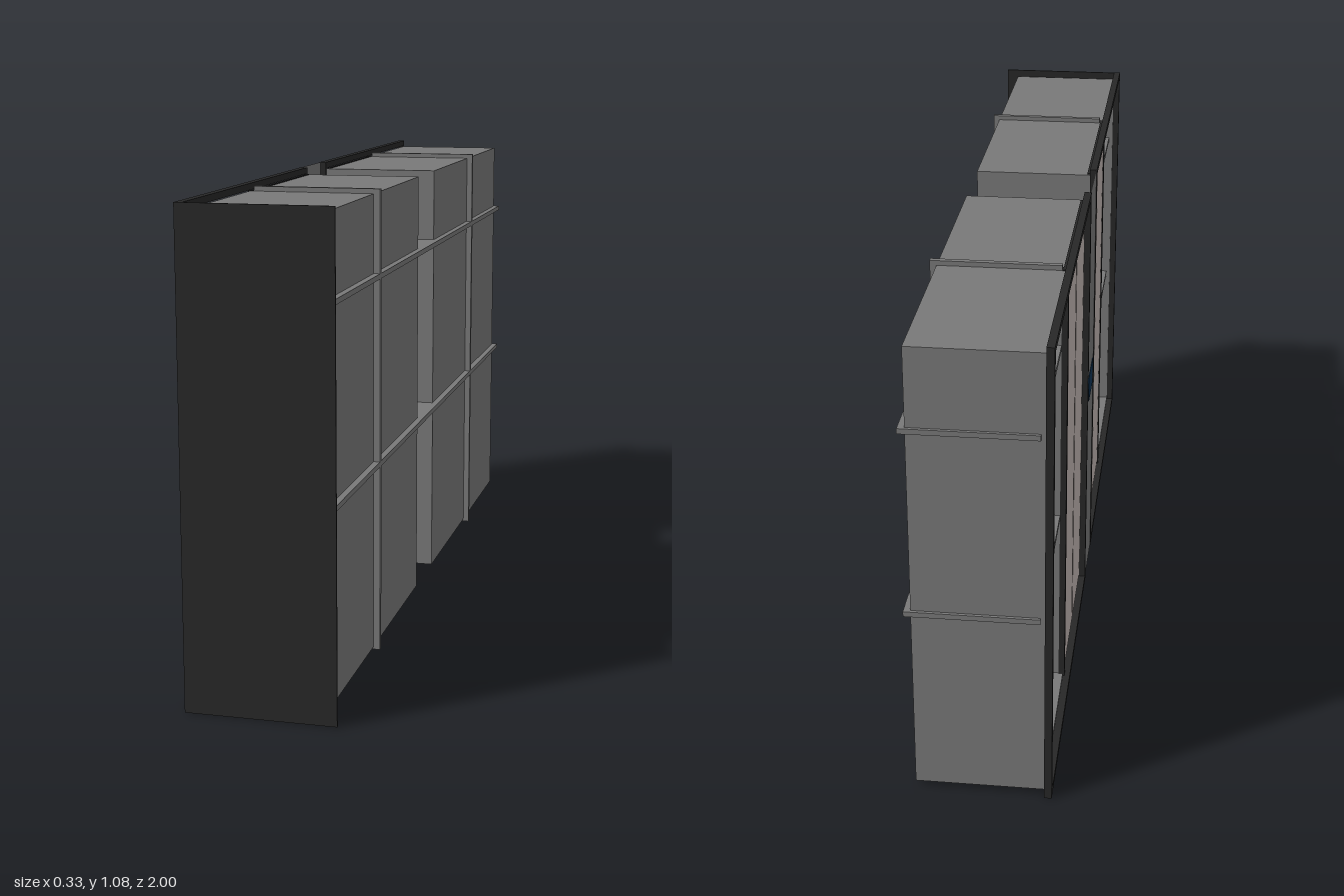
import * as THREE from 'three';

const mat = (name, color) => {
  const m = new THREE.MeshStandardMaterial({ color });
  m.name = name;
  return m;
};

export function createModel() {
  const grey = mat('carcass grey', 0x787878);
  const black = mat('frame black', 0x272727);
  const taupe = mat('door taupe', 0xc2b7b3);
  const navy = mat('screen navy', 0x0f3456);
  const orange = mat('box orange', 0xe0765a);
  const silver = mat('box silver', 0xb4b8ba);
  const cream = mat('cloth cream', 0xd8cfca);
  const teal = mat('cloth teal', 0x8fa6aa);
  const charcoal = mat('cloth charcoal', 0x303030);
  const blue = mat('cloth blue', 0x1060c0);

  const root = new THREE.Group();
  root.name = 'wardrobe';

  // Box given by its extents on each axis
  const box = (name, m, x0, x1, y0, y1, z0, z1, parent = root) => {
    const mesh = new THREE.Mesh(new THREE.BoxGeometry(x1 - x0, y1 - y0, z1 - z0), m);
    mesh.position.set((x0 + x1) / 2, (y0 + y1) / 2, (z0 + z1) / 2);
    mesh.name = name;
    parent.add(mesh);
    return mesh;
  };
  // Same box on the side s (+1 or -1) of the z axis
  const sided = (s, parent) => (name, m, x0, x1, y0, y1, z0, z1) =>
    box(name, m, x0, x1, y0, y1, s > 0 ? z0 : -z1, s > 0 ? z1 : -z0, parent);

  const TOP = 1.08, FRONT = -0.167;

  for (const s of [1, -1]) {
    const unit = new THREE.Group();
    unit.name = s > 0 ? 'frontCabinet' : 'rearCabinet';
    root.add(unit);
    const b = sided(s, unit);

    // Open carcass
    const t = 0.006, y0 = 0.014, y1 = 1.063, z0 = 0.093, z1 = 0.988, xb = 0.135;
    b('backWall', grey, xb - t, xb, y0, y1, z0, z1);
    b('floor', grey, -0.15, xb - t, y0, y0 + t, z0, z1);
    b('ceiling', grey, -0.15, xb - t, y1 - t, y1, z0, z1);
    b('innerSide', grey, -0.15, xb - t, y0 + t, y1 - t, z0, z0 + t);
    b('outerSide', grey, -0.15, xb - t, y0 + t, y1 - t, z1 - t, z1);
    b('divider', grey, -0.14, 0.15, 0.008, 1.074, 0.542, 0.555);

    // Black face frame
    const w = 0.015;
    b('frameBottom', black, FRONT, -0.15, 0, w, 0.085, 1);
    b('frameTop', black, FRONT, -0.15, TOP - w, TOP, 0.085, 1);
    b('frameInner', black, FRONT, -0.15, w, TOP - w, 0.085, 0.085 + w);
    b('frameOuter', black, FRONT, -0.15, w, TOP - w, 1 - w, 1);
    b('post', black, -0.154, -0.14, w, TOP - w, 0.539, 0.557);

    // Two doors with slim black edging
    for (const [a, c] of [[0.1, 0.32], [0.32, 0.539]]) {
      b('doorEdging', black, -0.148, -0.142, w, TOP - w, a, c);
      b('doorPanel', taupe, -0.152, -0.148, w + 0.012, TOP - w - 0.012, a + 0.007, c - 0.007);
    }

    // Clothes rail
    const rail = new THREE.Mesh(new THREE.CylinderGeometry(0.005, 0.005, 0.427, 10), black);
    rail.rotation.x = Math.PI / 2;
    rail.position.set(0, 0.85, s * 0.7685);
    rail.name = 'clothesRail';
    unit.add(rail);
  }

  // Long shelves running through both cabinets and the gap
  for (const y of [0.45, 0.88]) box('shelf', grey, -0.14, 0.15, y - 0.006, y + 0.006, -0.995, 0.995);

  // End panel, centre panel and control screen
  box('endPanel', black, FRONT, 0.167, 0, TOP, 0.996, 1);
  box('centrePanel', grey, -0.1655, -0.1645, 0, TOP, -0.086, 0.086);
  box('screen', navy, -0.167, -0.162, 0.51, 0.58, -0.06, 0.06);

  // Flat outline extruded along z, origin at the hanging point
  const cloth = (name, m, half, depth, x, y, z) => {
    const shape = new THREE.Shape();
    half.forEach(([px, py], i) => (i ? shape.lineTo(px, py) : shape.moveTo(px, py)));
    [...half].reverse().forEach(([px, py]) => shape.lineTo(-px, py));
    const geo = new THREE.ExtrudeGeometry(shape, {
      depth, bevelEnabled: true, bevelThickness: 0.004, bevelSize: 0.004, bevelSegments: 1,
    });
    geo.translate(0, 0, -depth / 2);
    const mesh = new THREE.Mesh(geo, m);
    mesh.position.set(x, y, z);
    mesh.name = name;
    root.add(mesh);
    return mesh;
  };
  const hook = (y, z) => {
    const mesh = new THREE.Mesh(new THREE.TorusGeometry(0.012, 0.0018, 5, 12, Math.PI * 1.4), black);
    mesh.position.set(0, y, z);
    mesh.name = 'hangerHook';
    root.add(mesh);
    box('hangerStem', black, -0.0015, 0.0015, y - 0.035, y - 0.01, z - 0.0015, z + 0.0015);
  };
  // Shirt with sloping shoulders and hanging sleeves
  const shirt = (m, length, z, turn) => {
    const half = [[0.018, 0], [0.06, -0.02], [0.08, -0.06], [0.092, -length * 0.75],
      [0.07, -length * 0.77], [0.064, -0.1], [0.068, -length]];
    cloth('shirt', m, half, 0.014, 0, 0.82, z).rotation.y = turn;
    hook(0.852, z);
  };
  const longMats = [cream, teal, cream, teal, teal, cream];
  longMats.forEach((m, i) => shirt(m, m === teal ? 0.34 : 0.29, -0.9 + i * 0.052, 0.08 * (i % 3 - 1)));
  const shortMats = [cream, cream, charcoal, charcoal, charcoal, charcoal, charcoal];
  shortMats.forEach((m, i) => shirt(m, 0.21 + 0.015 * (i % 2), 0.62 + i * 0.05, 0.08 * (i % 3 - 1)));

  // Folded trousers below the middle shelf
  const low = new THREE.Mesh(new THREE.CylinderGeometry(0.005, 0.005, 0.427, 10), black);
  low.rotation.x = Math.PI / 2;
  low.position.set(0, 0.425, 0.7685);
  low.name = 'lowerRail';
  root.add(low);
  [blue, blue, charcoal, charcoal, charcoal].forEach((m, i) => {
    const half = [[0.06, 0], [0.07, -0.1], [0.065, -0.24 - 0.015 * (i % 2)]];
    cloth('trousers', m, half, 0.018, 0, 0.39, 0.61 + i * 0.042);
    hook(0.425, 0.61 + i * 0.042);
  });

  // Lidded storage boxes on the floor
  const storage = (name, m, x0, x1, h, z0, z1) => {
    const f = 0.02;
    box(name + 'Body', m, x0 + 0.004, x1 - 0.004, f, f + h - 0.025, z0 + 0.004, z1 - 0.004);
    box(name + 'Lid', m, x0, x1, f + h - 0.025, f + h, z0, z1);
  };
  storage('orangeBox', orange, -0.117, 0.1, 0.085, -0.79, -0.62);
  storage('silverBox', silver, -0.12, 0.09, 0.07, -0.97, -0.82);

  return root;
}
